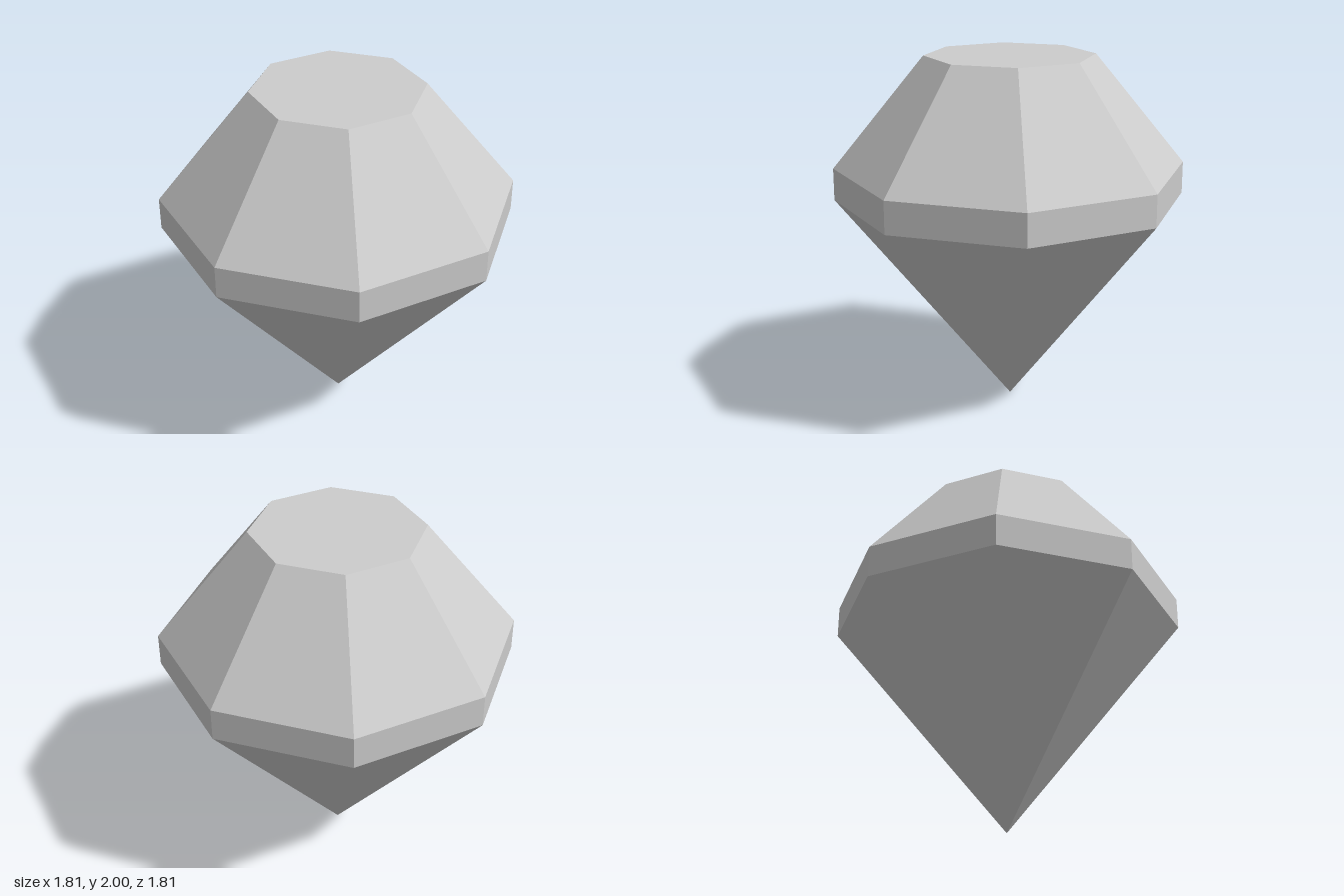
import * as THREE from 'three';

const SIDES = 8;
const GIRDLE_RADIUS = 0.982; // corner radius; flats lie at 0.907
const TABLE_RADIUS = 0.473;

export function createModel() {
  const gem = new THREE.Group();
  gem.name = 'gem';

  const stone = new THREE.MeshStandardMaterial({ color: 0xcccccc, flatShading: true });
  stone.name = 'pale grey stone';

  // One faceted band between two heights, with a flat facing the front
  function band(name, bottomY, topY, bottomRadius, topRadius) {
    const height = topY - bottomY;
    const geometry = new THREE.CylinderGeometry(
      topRadius, bottomRadius, height, SIDES, 1, true, Math.PI / SIDES
    );
    const mesh = new THREE.Mesh(geometry, stone);
    mesh.name = name;
    mesh.position.y = bottomY + height / 2;
    gem.add(mesh);
  }

  band('pavilion', 0, 1.2, 0, GIRDLE_RADIUS);
  band('girdle', 1.2, 1.38, GIRDLE_RADIUS, GIRDLE_RADIUS);
  band('crown', 1.38, 2, GIRDLE_RADIUS, TABLE_RADIUS);

  // Flat octagonal top
  const table = new THREE.Mesh(
    new THREE.CircleGeometry(TABLE_RADIUS, SIDES, Math.PI / SIDES), stone
  );
  table.name = 'table';
  table.rotation.x = -Math.PI / 2;
  table.position.y = 2;
  gem.add(table);

  return gem;
}
